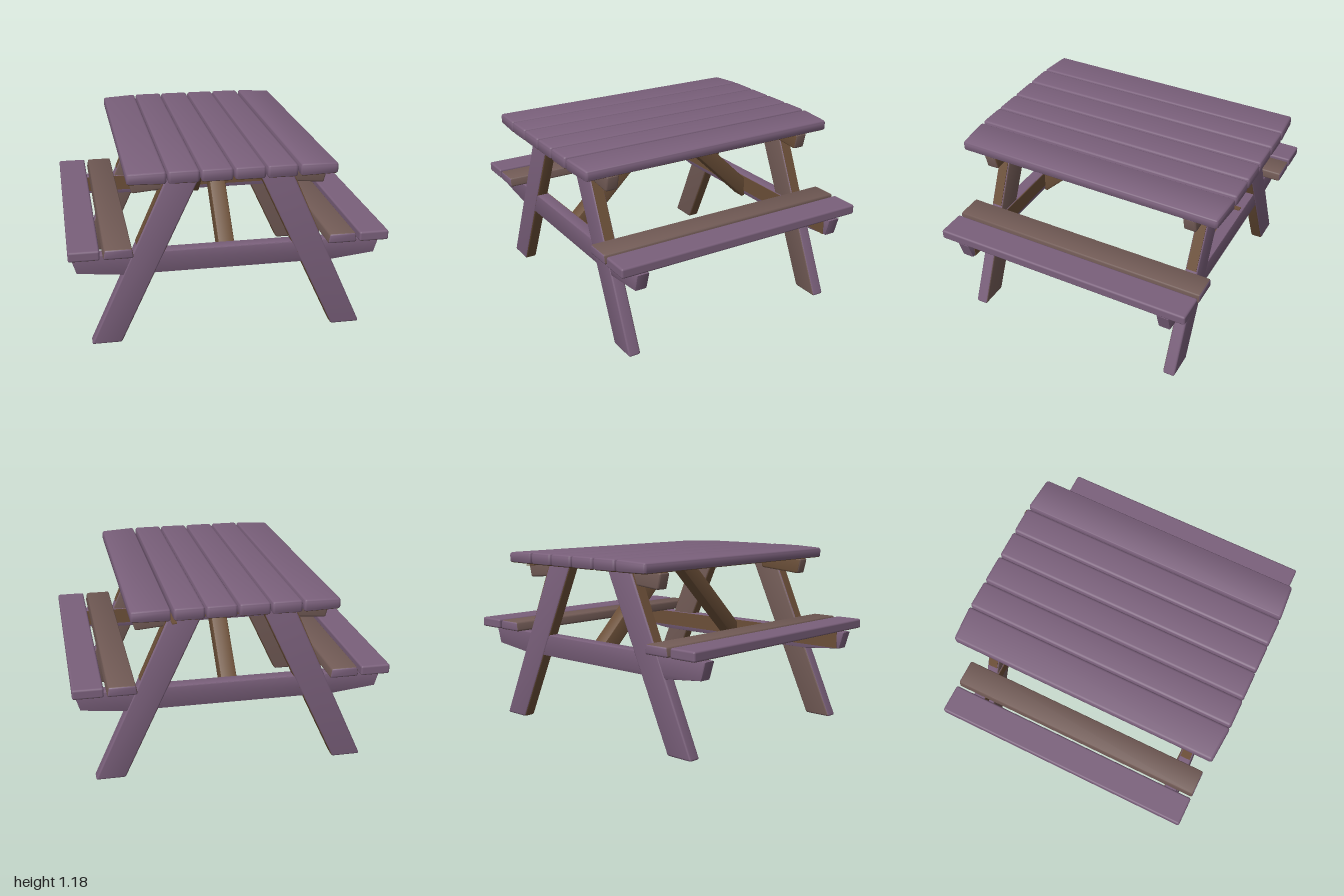
import * as THREE from 'three';
import { RoundedBoxGeometry } from 'three/addons/geometries/RoundedBoxGeometry.js';
import { toCreasedNormals } from 'three/addons/utils/BufferGeometryUtils.js';

function material(name, color) {
  const m = new THREE.MeshStandardMaterial({ color });
  m.name = name;
  return m;
}

export function createModel() {
  const purple = material('purple stain', 0x7a607b);
  const brown = material('bare brown wood', 0x6b4f38);
  const worn = material('worn brown stain', 0x715a55);

  // A softened board; rule(v) may reshape it about its own centre.
  // Materials go right, left, top, bottom, front, back.
  function board(name, size, position, mats, rule, radius = 0.013) {
    const [w, h, d] = size;
    let geometry = new RoundedBoxGeometry(w, h, d, 2, radius);
    if (rule) {
      const p = geometry.attributes.position;
      const v = new THREE.Vector3();
      for (let i = 0; i < p.count; i++) {
        rule(v.fromBufferAttribute(p, i));
        p.setXYZ(i, v.x, v.y, v.z);
      }
      geometry.computeVertexNormals();
      geometry = toCreasedNormals(geometry, 0.7);
    }
    const mesh = new THREE.Mesh(geometry, mats);
    mesh.name = name;
    mesh.position.set(...position);
    return mesh;
  }

  const model = new THREE.Group();
  model.name = 'picnicTable';
  const body = new THREE.Group();
  body.name = 'tableBody';
  body.position.z = 0.012;
  model.add(body);

  // Table top: six planks, the outer pair wider with slanted ends
  const plankMats = [purple, purple, purple, brown, purple, purple];
  const edges = [[-0.64, -0.405], [-0.397, -0.208], [-0.2, -0.008], [0.002, 0.19], [0.198, 0.386], [0.402, 0.64]];
  edges.forEach(([a, b], i) => {
    const x = (a + b) / 2;
    const side = i === 0 ? -1 : i === 5 ? 1 : 0;
    body.add(board('topPlank', [b - a, 0.078, 1.835], [x, 1.141, 0], plankMats, v => {
      if (!side) return;
      const t = side * v.x / (b - a) + 0.5;
      v.z *= 1 - 0.018 * t;
      if (v.y > 0) v.y -= 0.01 * t;
    }, 0.018));
  });

  // Thin splinter under the gap between planks
  const splinter = new THREE.Mesh(new THREE.BoxGeometry(0.03, 0.006, 0.47), brown);
  splinter.name = 'splinter';
  splinter.position.set(0.386, 1.1, -0.707);
  body.add(splinter);

  // Benches: two planks on each side
  for (const s of [-1, 1]) {
    body.add(board('outerBenchPlank', [0.19, 0.064, 1.75], [s * 0.905, 0.661, 0],
      [purple, purple, purple, worn, purple, purple]));
    body.add(board('innerBenchPlank', [0.185, 0.064, 1.75], [s * 0.699, 0.661, 0],
      [worn, worn, worn, worn, purple, purple], v => {
        if (v.y > 0) v.x *= 0.92;
      }));
  }

  // End frame, built facing +z
  function endFrame(name) {
    const frame = new THREE.Group();
    frame.name = name;
    const z = 0.727;

    for (const s of [-1, 1]) {
      // Splayed leg, cut level at both ends
      const splay = v => { v.x = v.x * (1 + 0.08 * v.y) - s * 0.46 * v.y; };
      const sides = s > 0 ? [purple, brown] : [brown, purple];
      frame.add(board('leg', [0.2, 1.1, 0.082], [s * 0.531, 0.553, z],
        [...sides, brown, purple, purple, worn], splay));

      // Bare upper part of the leg's outer side
      const plate = new THREE.BoxGeometry(0.006, 0.42, 0.066);
      plate.applyMatrix4(new THREE.Matrix4().makeShear(0, 0, -s * 0.442, 0, 0, 0));
      const bare = new THREE.Mesh(plate, brown);
      bare.name = 'bareLegSide';
      bare.position.set(s * 0.4845, 0.88, z);
      frame.add(bare);

      // Short support under the table top
      frame.add(board('topSupport', [0.34, 0.105, 0.085], [s * 0.45, 1.05, z - 0.015],
        [worn, worn, brown, worn, worn, brown], v => {
          if (v.y < 0 && v.x * s > 0) v.x -= s * 0.02;
          if (v.y < 0 && v.x * s < 0) v.y += 0.025;
        }));
    }

    // Bench rail with slanted, slightly raised ends
    const rail = new THREE.Shape();
    rail.moveTo(-0.985, 0.615);
    [[-0.95, 0.5], [-0.67, 0.47], [0.67, 0.47], [0.95, 0.5], [0.985, 0.615]].forEach(([x, y]) => rail.lineTo(x, y));
    rail.closePath();
    const slab = new THREE.ExtrudeGeometry(rail, {
      depth: 0.066, bevelEnabled: true, bevelThickness: 0.008, bevelSize: 0.008, bevelOffset: -0.008, bevelSegments: 2
    });
    const railMesh = new THREE.Mesh(toCreasedNormals(slab, 0.7), [purple, purple]);
    railMesh.name = 'benchRail';
    railMesh.position.z = z - 0.037;
    frame.add(railMesh);

    // Bare inner face of the rail
    const inner = new THREE.Mesh(new THREE.BoxGeometry(1.86, 0.11, 0.005), brown);
    inner.name = 'railInnerFace';
    inner.position.set(0, 0.555, z - 0.046);
    frame.add(inner);

    // Diagonal brace from the rail up to the middle of the top
    const brace = new THREE.Shape();
    brace.moveTo(0, 1.102);
    [[-0.16, 1.102], [-0.69, 0.59], [-0.69, 0.46], [-0.67, 0.455]].forEach(([a, b]) => brace.lineTo(a, b));
    brace.closePath();
    const bar = new THREE.ExtrudeGeometry(brace, {
      depth: 0.084, bevelEnabled: true, bevelThickness: 0.01, bevelSize: 0.01, bevelOffset: -0.01, bevelSegments: 2
    });
    bar.translate(0, 0, -0.042);
    bar.rotateY(Math.PI / 2);
    const braceMesh = new THREE.Mesh(toCreasedNormals(bar, 0.7), brown);
    braceMesh.name = 'diagonalBrace';
    frame.add(braceMesh);
    return frame;
  }

  const front = endFrame('frontFrame');
  const back = endFrame('backFrame');
  back.rotation.y = Math.PI;
  body.add(front, back);
  return model;
}
